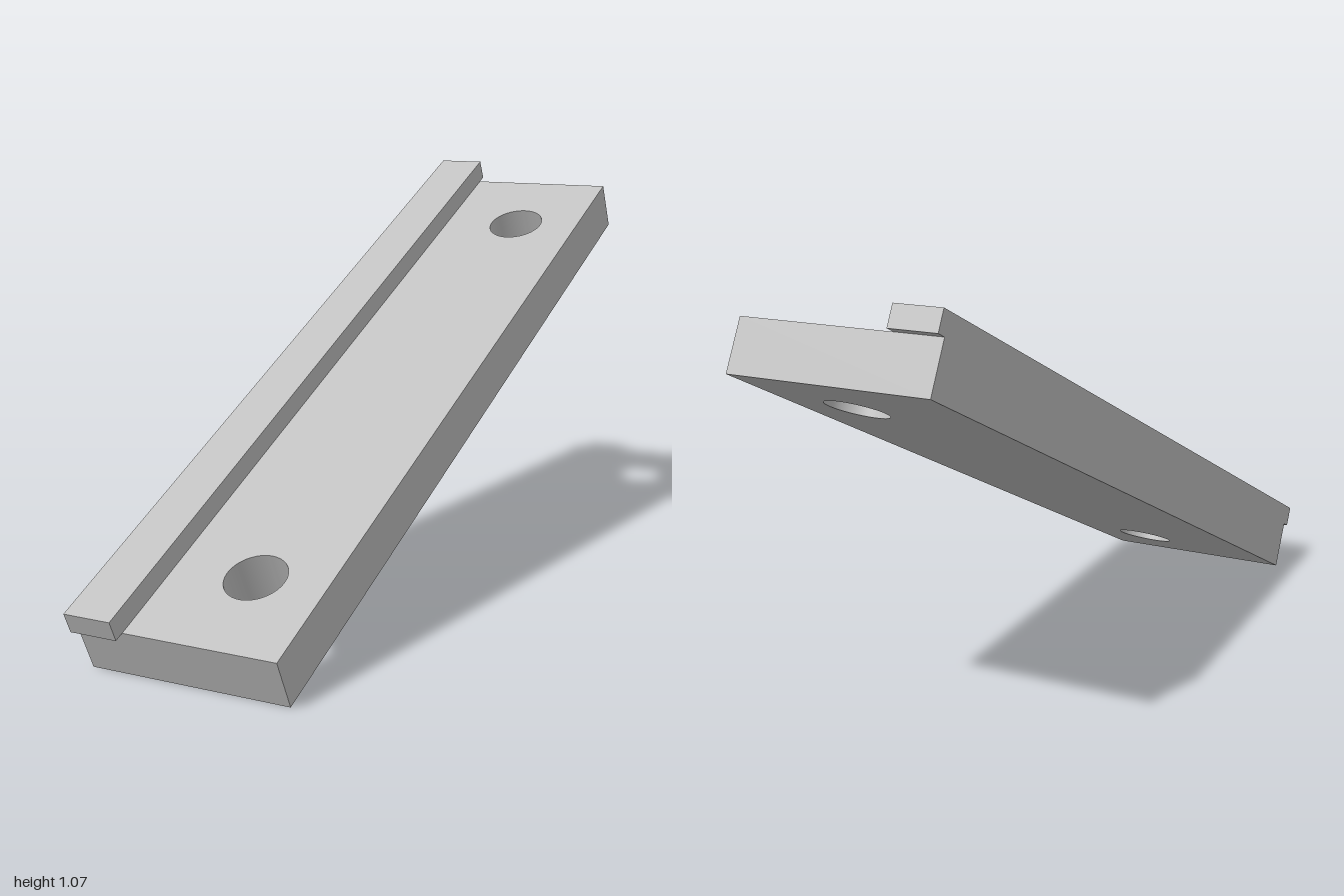
import * as THREE from 'three';
import { toCreasedNormals } from 'three/addons/utils/BufferGeometryUtils.js';

const LENGTH = 2.093, THICK = 0.132, LEFT = -0.267, RIGHT = 0.266;

export function createModel() {
  const grey = new THREE.MeshStandardMaterial({ color: 0xc0c0c0 });
  grey.name = 'grey metal';

  const model = new THREE.Group();
  model.name = 'inclinedPlate';

  // Base plate: outline in the plane of the slope, with two through holes
  const outline = new THREE.Shape([
    new THREE.Vector2(LEFT, 0),
    new THREE.Vector2(RIGHT, 0),
    new THREE.Vector2(RIGHT, LENGTH),
    new THREE.Vector2(LEFT, LENGTH),
  ]);
  for (const side of [-1, 1]) {
    const hole = new THREE.Path();
    hole.absarc(0.078, LENGTH / 2 + side * 0.805, 0.077, 0, Math.PI * 2, true);
    outline.holes.push(hole);
  }
  const plateGeometry = new THREE.ExtrudeGeometry(outline, {
    depth: THICK, bevelEnabled: false, curveSegments: 32,
  });
  plateGeometry.rotateX(-Math.PI / 2);
  const plate = new THREE.Mesh(toCreasedNormals(plateGeometry, Math.PI / 6), grey);
  plate.name = 'basePlate';

  // Edge rail: overhangs the plate slightly at both ends
  const railWidth = 0.127, railHeight = 0.055, overhang = 0.026;
  const rail = new THREE.Mesh(
    new THREE.BoxGeometry(railWidth, railHeight, LENGTH + 2 * overhang), grey);
  rail.name = 'edgeRail';
  rail.position.set(LEFT + railWidth / 2, THICK + railHeight / 2, -LENGTH / 2);

  // Tilt the assembly up towards the back
  const slope = new THREE.Group();
  slope.name = 'slopedAssembly';
  slope.add(plate, rail);
  slope.rotation.x = THREE.MathUtils.degToRad(25);
  slope.position.z = 0.897;
  model.add(slope);
  return model;
}
